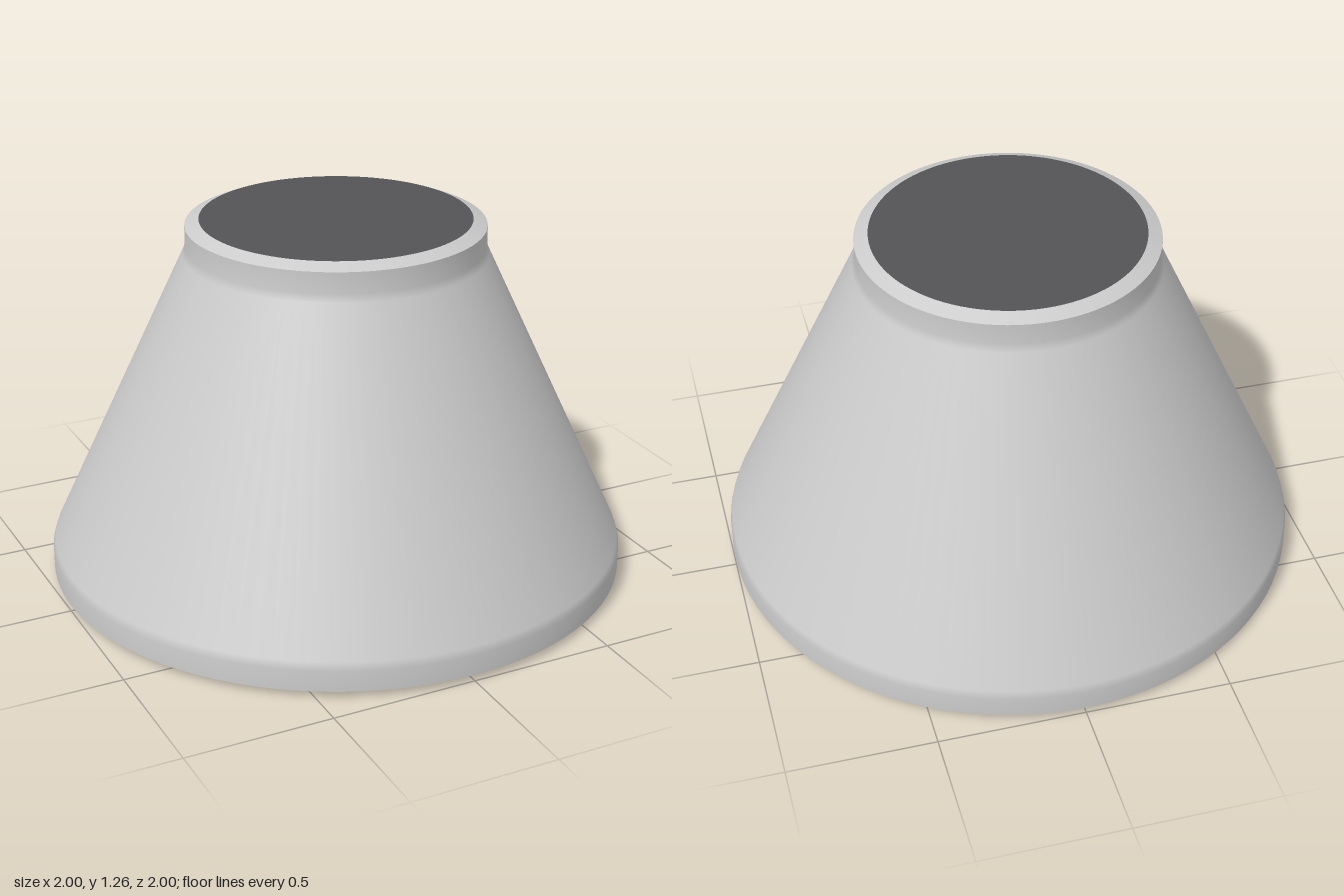
import * as THREE from 'three';

const SEGMENTS = 96;
const grey = new THREE.MeshStandardMaterial({ color: 0xcccccc });
const dark = new THREE.MeshStandardMaterial({ color: 0x545456 });

// Surface of revolution from [radius, height] pairs, bottom to top
function lathe(name, points) {
  const profile = points.map(([r, y]) => new THREE.Vector2(r, y));
  const mesh = new THREE.Mesh(new THREE.LatheGeometry(profile, SEGMENTS), grey);
  mesh.name = name;
  return mesh;
}

// Flat dark disc; facing is +1 for up, -1 for down
function cap(name, radius, y, facing) {
  const mesh = new THREE.Mesh(new THREE.CircleGeometry(radius, SEGMENTS), dark);
  mesh.rotation.x = -facing * Math.PI / 2;
  mesh.position.y = y;
  mesh.name = name;
  return mesh;
}

export function createModel() {
  const group = new THREE.Group();
  group.name = 'taperedFoot';
  group.add(
    // Sloping wall with a short upright band at each end, softly blended
    lathe('taperedBody', [
      [1, 0.022], [1, 0.095], [0.992, 0.122],
      [0.518, 1.138], [0.508, 1.165], [0.508, 1.238],
    ]),
    // Chamfered rims
    lathe('bottomRim', [[0.92, 0], [1, 0.022]]),
    lathe('topRim', [[0.508, 1.238], [0.46, 1.258]]),
    // End pads
    cap('bottomPad', 0.92, 0, -1),
    cap('topPad', 0.46, 1.258, 1),
  );
  return group;
}
